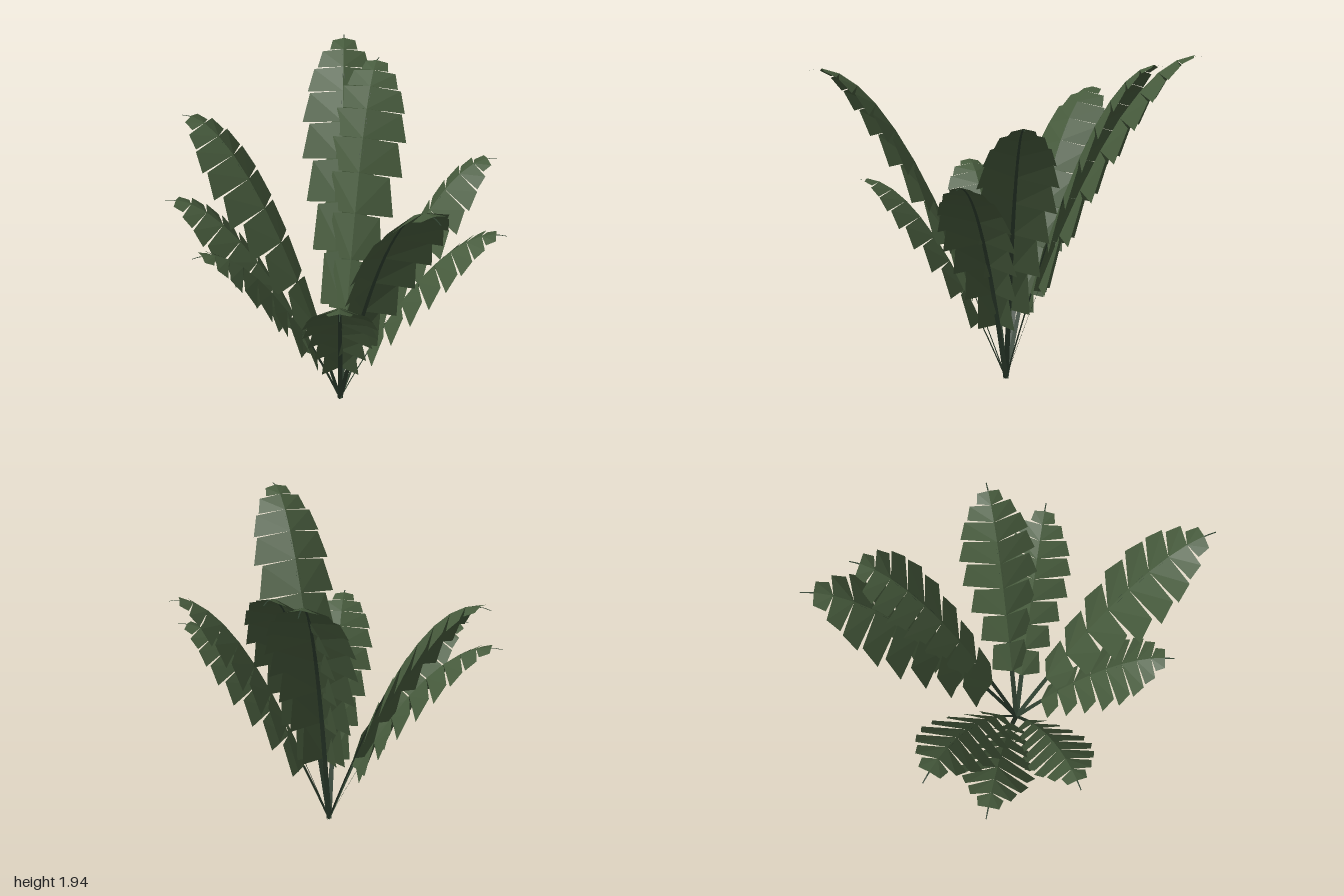
import * as THREE from 'three';

const leafMaterial = new THREE.MeshStandardMaterial({ color: 0x465a3c, side: THREE.DoubleSide });
const stemMaterial = new THREE.MeshStandardMaterial({ color: 0x2f4030, side: THREE.DoubleSide });

const ROOT = new THREE.Vector3(0.04, 0, 0.13);

// Tip x, tip z and height of each frond
const FRONDS = [
  [-0.27, -1.0, 1.95], [0.0, -0.83, 1.9], [0.84, -0.34, 1.58],
  [0.98, -0.01, 1.27], [0.8, 0.99, 1.88], [0.29, 0.99, 1.21],
  [-0.64, 0.71, 1.26], [-0.98, 0.27, 1.34], [-0.99, -0.07, 1.73],
];

// Half-widths of the leaflet pairs from base to tip
const WIDTHS = [0.13, 0.18, 0.22, 0.25, 0.25, 0.22, 0.16, 0.085];

function quadMesh(quads, material, name) {
  const points = quads.flatMap(([a, b, c, d]) => [a, b, c, a, c, d]);
  const geometry = new THREE.BufferGeometry().setFromPoints(points);
  geometry.computeVertexNormals();
  const mesh = new THREE.Mesh(geometry, material);
  mesh.name = name;
  return mesh;
}

function createFrond([x, z, height]) {
  const frond = new THREE.Group();
  const forward = new THREE.Vector3(x - ROOT.x, 0, z - ROOT.z);
  const reach = forward.length();
  forward.normalize();
  const side = new THREE.Vector3(forward.z, 0, -forward.x);
  const at = (r, y) => ROOT.clone().addScaledVector(forward, r).setY(y);
  const rib = new THREE.QuadraticBezierCurve3(
    at(0, 0), at(0.575 * reach, 1.05 * height), at(reach, 0.995 * height));
  const size = 0.6 + 0.2 * height;

  // Flat tapering stem, running under the leaflets
  const stem = [];
  const steps = 20;
  const edge = (i, s) => {
    const t = i / steps;
    return rib.getPoint(t)
      .addScaledVector(side, s * (0.016 - 0.013 * t))
      .addScaledVector(forward, 0.008 * Math.min(1, 6 * t) * (1 - t))
      .add(new THREE.Vector3(0, -0.006 * t, 0));
  };
  for (let i = 0; i < steps; i++) {
    stem.push([edge(i, -1), edge(i + 1, -1), edge(i + 1, 1), edge(i, 1)]);
  }
  frond.add(quadMesh(stem, stemMaterial, 'stem'));

  // Drooping leaflet pairs, swept toward the tip
  const leaflets = [];
  WIDTHS.forEach((halfWidth, i) => {
    const w = halfWidth * size;
    const t = 0.15 + 0.097 * i;
    const a = rib.getPoint(t);
    const b = rib.getPoint(t + 0.097);
    const step = Math.hypot(b.x - a.x, b.z - a.z);
    for (const s of [1, -1]) {
      const outer = (p, span, sweep) => p.clone()
        .addScaledVector(side, s * span)
        .addScaledVector(forward, sweep)
        .add(new THREE.Vector3(0, -0.22 * span, 0));
      const outA = outer(a, w, 0.4 * w);
      const outB = outer(b, 0.82 * w, 0.4 * w - 0.35 * step);
      leaflets.push(s > 0 ? [a, b, outB, outA] : [a, outA, outB, b]);
    }
  });
  frond.add(quadMesh(leaflets, leafMaterial, 'leaflets'));
  return frond;
}

export function createModel() {
  const plant = new THREE.Group();
  plant.name = 'fern';
  FRONDS.forEach((spec, i) => {
    const frond = createFrond(spec);
    frond.name = `frond${i + 1}`;
    plant.add(frond);
  });
  return plant;
}
